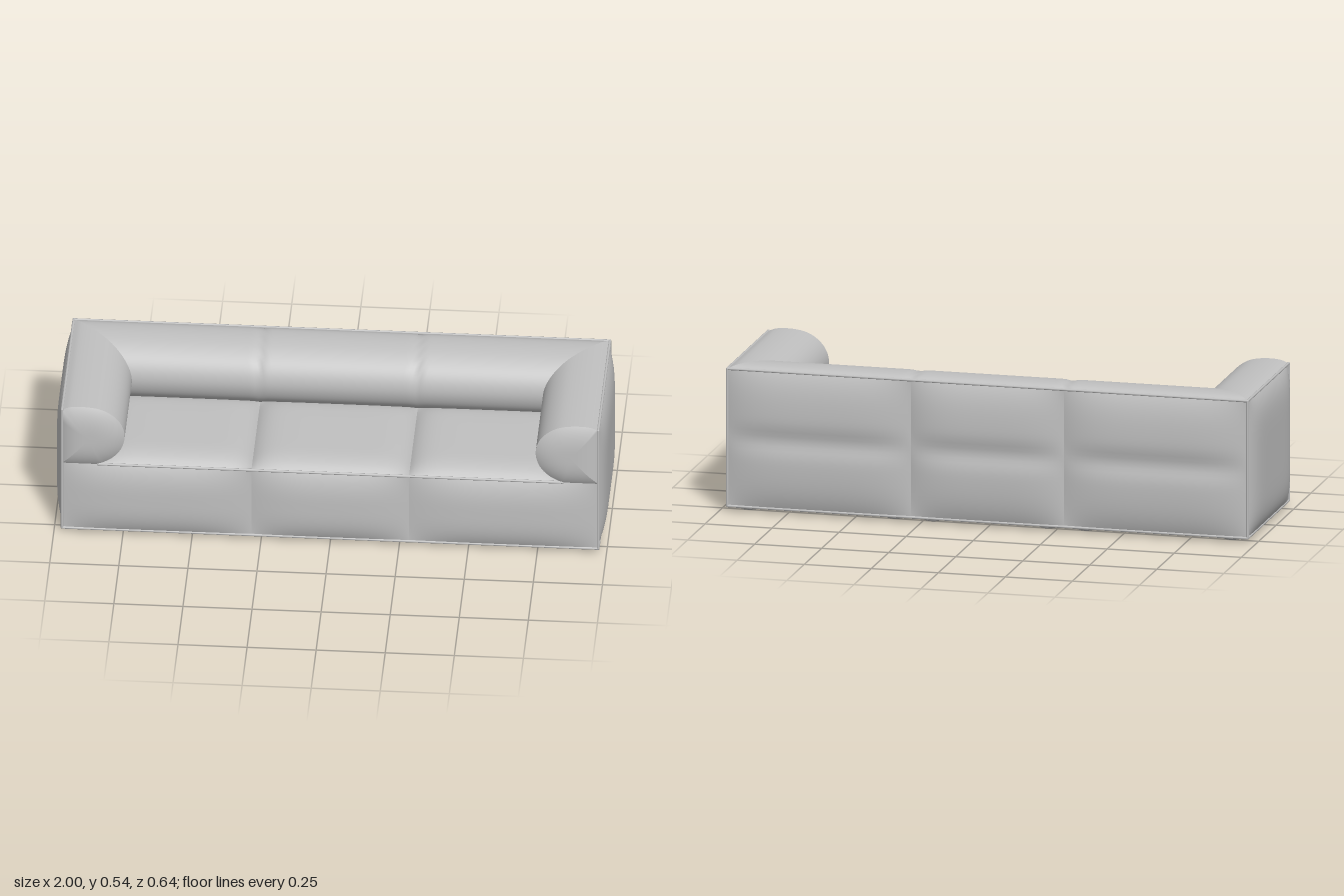
import * as THREE from 'three';
import { ParametricGeometry } from 'three/addons/geometries/ParametricGeometry.js';

const W = 0.97, D = 0.295;          // half width and half depth at the seams
const LOW = 0.02, SEAT = 0.3, TOP = 0.53;
const SEAMS = [-W, -0.285, 0.285, W];

export function createModel() {
  const group = new THREE.Group();
  group.name = 'sofa';
  const fabric = new THREE.MeshStandardMaterial({ color: 0xc0c0c0, side: THREE.DoubleSide });
  fabric.name = 'grey fabric';
  const V = (x, y, z) => new THREE.Vector3(x, y, z);

  const add = (name, geometry) => {
    const mesh = new THREE.Mesh(geometry, fabric);
    mesh.name = name;
    group.add(mesh);
    return mesh;
  };
  const surface = (name, fn, nu, nv) => add(name, new ParametricGeometry(fn, nu, nv));

  // Padded panel: a rectangle puffed out along its normal, with an optional pinch halfway up
  const panel = (name, origin, across, up, puff, power, pinch = 0) => {
    const normal = across.clone().cross(up).normalize();
    const edge = (t) => 1 - Math.abs(2 * t - 1) ** power;
    surface(name, (u, v, out) => {
      const waist = 1 - pinch * Math.exp(-(((v - 0.5) / 0.09) ** 2));
      out.copy(origin).addScaledVector(across, u).addScaledVector(up, v)
        .addScaledVector(normal, puff * edge(u) * edge(v) * waist);
    }, 28, 28);
  };

  // Three modules: front, back, underside, seat cushion and feet
  for (let i = 0; i < 3; i++) {
    const a = SEAMS[i], b = SEAMS[i + 1], w = b - a;
    panel('frontPanel', V(a, LOW, D), V(w, 0, 0), V(0, SEAT - LOW, 0), 0.024, 3);
    panel('backPanel', V(b, LOW, -D), V(-w, 0, 0), V(0, TOP - LOW, 0), 0.027, 4, 0.45);
    panel('underside', V(a, LOW, -D), V(w, 0, 0), V(0, 0, 2 * D), 0.009, 10);

    const c = Math.max(a, -0.84), d = Math.min(b, 0.84);
    panel('seatCushion', V(c, SEAT, D), V(d - c, 0, 0), V(0, 0, -0.46), 0.035, 7);

    for (const x of [a + 0.07, b - 0.07]) {
      for (const z of [-0.24, 0.24]) {
        const foot = add('foot', new THREE.SphereGeometry(0.042, 20, 10));
        foot.scale.y = 0.3;
        foot.position.set(x, 0.0126, z);
      }
    }
  }

  // Outer sides
  panel('leftSide', V(W, LOW, D), V(0, 0, -2 * D), V(0, TOP - LOW, 0), 0.028, 6);
  panel('rightSide', V(-W, LOW, -D), V(0, 0, 2 * D), V(0, TOP - LOW, 0), 0.028, 6);

  // Rolled bolster profile: x is the distance inward, y the height
  const profile = new THREE.CatmullRomCurve3([
    [0, 0.53], [0.03, 0.541], [0.095, 0.543], [0.15, 0.531], [0.195, 0.5], [0.22, 0.46],
    [0.226, 0.415], [0.211, 0.365], [0.178, 0.327], [0.13, 0.3],
  ].map(([x, y]) => V(x, y, 0)));

  // Back bolster, mitred at both ends and slightly nipped at the module seams
  surface('backBolster', (u, v, out) => {
    const p = profile.getPoint(u);
    const x = (2 * v - 1) * (W - p.x);
    const nip = 0.005 * Math.exp(-(((Math.abs(x) - 0.285) / 0.018) ** 2));
    out.set(x, p.y - nip, -D + p.x * (1 - 3 * nip));
  }, 36, 90);

  // Arm bolsters with padded round ends
  const rolled = profile.getPoints(36);
  const loop = [0.3, 0.36, 0.42, 0.48].map((y) => V(0, y, 0)).concat(rolled);
  for (let i = 1; i < 5; i++) loop.push(V(0.13 * (1 - i / 5), SEAT, 0));
  loop.push(loop[0]);
  const steps = loop.length - 1;

  for (const side of [1, -1]) {
    const prefix = side > 0 ? 'left' : 'right';
    surface(prefix + 'ArmBolster', (u, v, out) => {
      const p = profile.getPoint(u);
      const t = side > 0 ? v : 1 - v;
      const back = -D + p.x;
      out.set(side * (W - p.x), p.y, back + (D - back) * t);
    }, 36, 12);

    surface(prefix + 'ArmEnd', (u, v, out) => {
      const t = (side > 0 ? v : 1 - v) * steps;
      const i = Math.min(Math.floor(t), steps - 1);
      const s = 0.002 + 0.998 * u;
      out.copy(loop[i]).lerp(loop[i + 1], t - i);
      const x = 0.1 + (out.x - 0.1) * s, y = 0.42 + (out.y - 0.42) * s;
      out.set(side * (W - x), y, D + 0.024 * (1 - s ** 3));
    }, 12, steps);
  }

  // Piping along the seams
  const pipe = (a, b, r = 0.005) => {
    const tube = new THREE.TubeGeometry(new THREE.LineCurve3(a, b), 1, r, 8);
    add('piping', tube);
    for (const end of [a, b]) add('pipingEnd', new THREE.SphereGeometry(r, 8, 6)).position.copy(end);
  };
  for (const x of [-W, W]) {
    for (const y of [LOW, TOP]) pipe(V(x, y, -D), V(x, y, D));
    for (const z of [-D, D]) pipe(V(x, LOW, z), V(x, TOP, z));
  }
  pipe(V(-W, TOP, -D), V(W, TOP, -D));
  for (const z of [-D, D]) pipe(V(-W, LOW, z), V(W, LOW, z));
  pipe(V(-0.84, SEAT, D), V(0.84, SEAT, D));

  return group;
}
